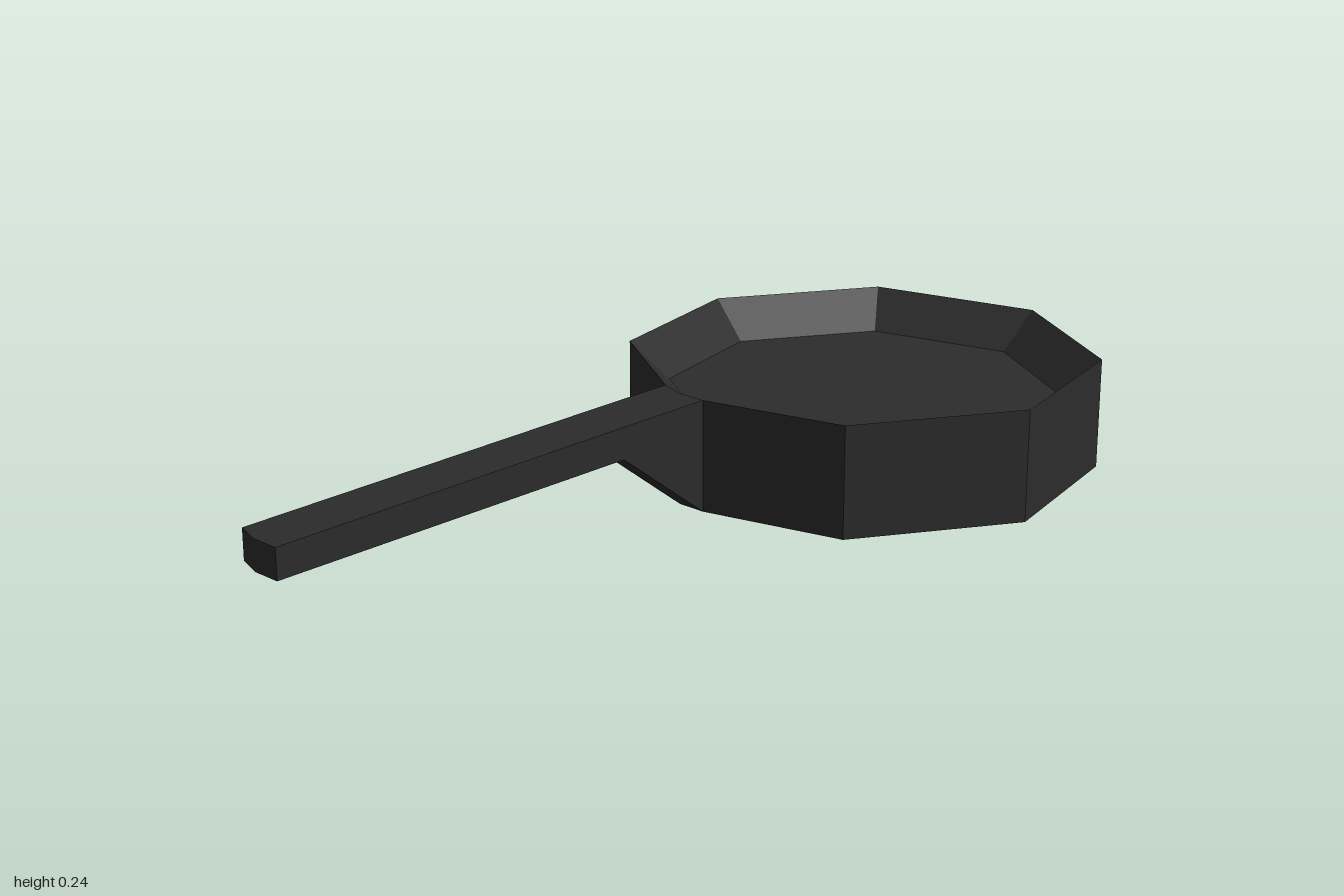
import * as THREE from 'three';

// Skins a row of closed rings and caps both ends, with faceted normals.
// Rings run counter-clockwise when seen from the last ring's side.
function loft(rings) {
  const pos = [];
  const tri = (a, b, c) => {
    const area = b.clone().sub(a).cross(c.clone().sub(a)).length();
    if (area > 1e-7) for (const p of [a, b, c]) pos.push(p.x, p.y, p.z);
  };
  const n = rings[0].length;
  for (let k = 0; k < rings.length - 1; k++) {
    for (let i = 0; i < n; i++) {
      const j = (i + 1) % n;
      const [a, b, c, d] = [rings[k][i], rings[k][j], rings[k + 1][j], rings[k + 1][i]];
      tri(a, b, c);
      tri(a, c, d);
    }
  }
  const first = rings[0], last = rings[rings.length - 1];
  for (let i = 1; i < n - 1; i++) {
    tri(first[0], first[i + 1], first[i]);
    tri(last[0], last[i], last[i + 1]);
  }
  const g = new THREE.BufferGeometry();
  g.setAttribute('position', new THREE.Float32BufferAttribute(pos, 3));
  g.computeVertexNormals();
  return g;
}

const W = 0.064;      // half width of the handle
const BOW = 0.01;     // outward bulge of the handle ends
const CZ = -0.488;    // centre of the pan

// Eight-sided ring; the front corner is blunted to the handle width if wanted.
function panRing(radius, y, blunt) {
  const front = CZ + radius;
  const v = (x, z) => new THREE.Vector3(x, y, z);
  const pts = blunt ? [v(0, BOW), v(W, 0)] : [v(0, front), v(0, front)];
  for (let i = 1; i < 8; i++) {
    const a = (i * Math.PI) / 4;
    pts.push(v(Math.sin(a) * radius, CZ + Math.cos(a) * radius));
  }
  pts.push(blunt ? v(-W, 0) : v(0, front));
  return pts;
}

// Upright handle section with its middle pushed slightly forward.
function handleRing(z, bottom, top) {
  return [[0, bottom], [W, bottom], [W, top], [0, top], [-W, top], [-W, bottom]]
    .map(([x, y]) => new THREE.Vector3(x, y, x === 0 ? z + BOW : z));
}

export function createModel() {
  const iron = new THREE.MeshStandardMaterial({ color: 0x2c2c2c, flatShading: true });
  iron.name = 'cast iron';
  const model = new THREE.Group();
  model.name = 'fryingPan';

  // Outer wall, sloping inner wall and sunken floor
  const pan = new THREE.Mesh(
    loft([panRing(0.512, 0, true), panRing(0.512, 0.243, true), panRing(0.425, 0.16, false)]), iron);
  pan.name = 'panBody';

  // Deep bracket at the pan narrowing to a long drooping grip
  const handle = new THREE.Mesh(
    loft([handleRing(0, 0, 0.243), handleRing(0.2, 0.157, 0.226), handleRing(0.99, 0.09, 0.157)]), iron);
  handle.name = 'handle';

  model.add(pan, handle);
  return model;
}
